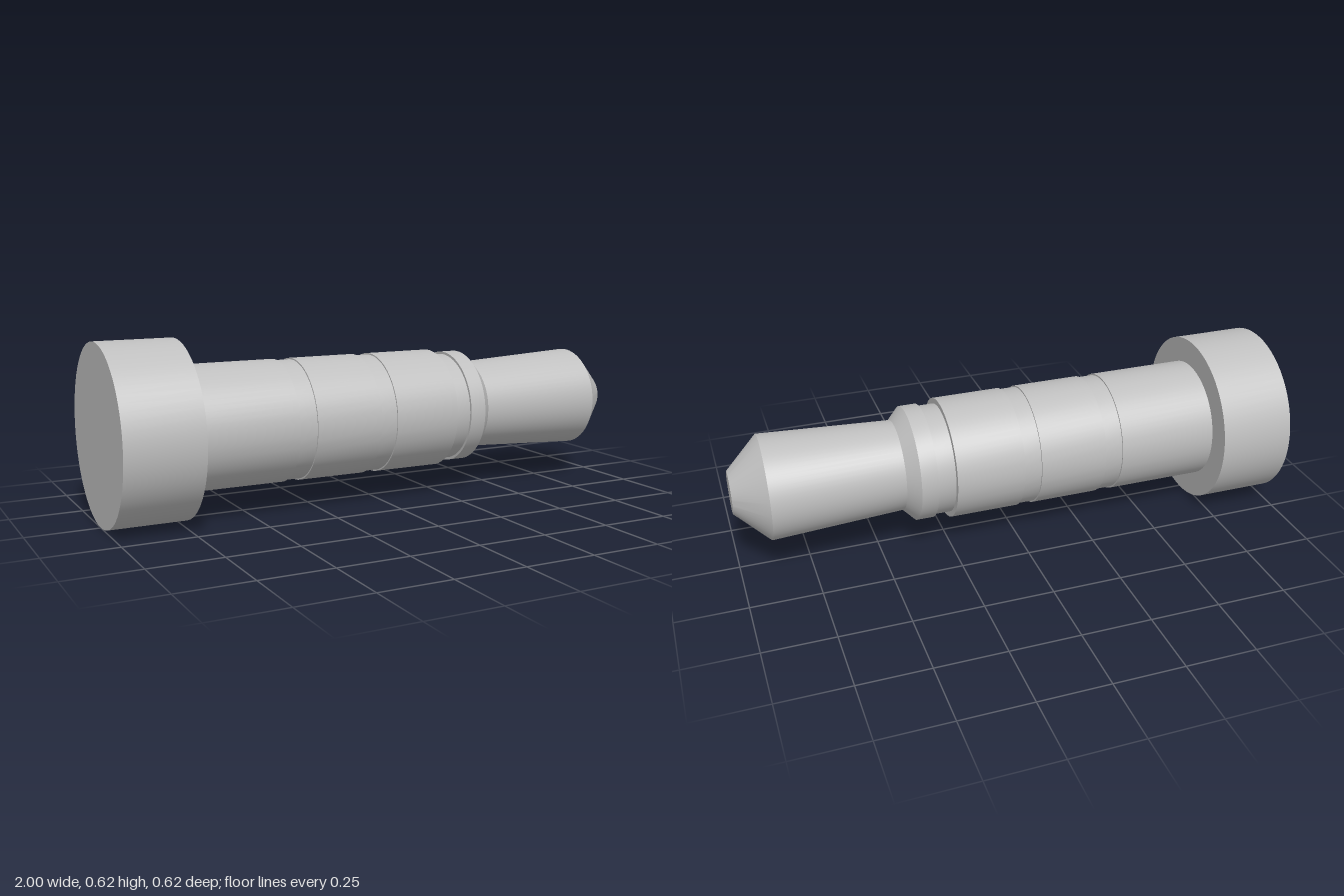
import * as THREE from 'three';
import { toCreasedNormals } from 'three/addons/utils/BufferGeometryUtils.js';

const AXIS_HEIGHT = 0.309;
const SEGMENTS = 64;

export function createModel() {
  const model = new THREE.Group();
  model.name = 'steppedPin';

  const steel = new THREE.MeshStandardMaterial({ color: 0xbfbfbf });
  steel.name = 'steel grey';

  // Each part is a [position along x, radius] profile turned about the pin axis;
  // neighbouring parts share their end circle so the skin stays closed.
  function turned(name, profile) {
    const points = profile.map(([x, r]) => new THREE.Vector2(r, x));
    const geometry = toCreasedNormals(new THREE.LatheGeometry(points, SEGMENTS), 0.3);
    geometry.rotateZ(-Math.PI / 2);
    const mesh = new THREE.Mesh(geometry, steel);
    mesh.name = name;
    mesh.position.y = AXIS_HEIGHT;
    model.add(mesh);
  }

  // Wide flat head with its shoulder
  turned('head', [[-1, 0], [-1, 0.309], [-0.73, 0.309], [-0.73, 0.217]]);

  // Shaft with two shallow grooves
  turned('shaft', [
    [-0.73, 0.217], [-0.37, 0.217],
    [-0.37, 0.212], [-0.305, 0.212],
    [-0.305, 0.217], [-0.06, 0.217],
    [-0.06, 0.212], [0.003, 0.212],
    [0.003, 0.217], [0.25, 0.217], [0.25, 0.197],
  ]);

  // Narrow neck and chamfered collar
  turned('neck', [[0.25, 0.197], [0.315, 0.197]]);
  turned('collar', [[0.315, 0.197], [0.315, 0.206], [0.375, 0.206], [0.417, 0.162]]);

  // Flaring tip with a blunt cone end
  turned('tip', [[0.417, 0.162], [0.885, 0.186], [1, 0.075], [1, 0]]);

  return model;
}
